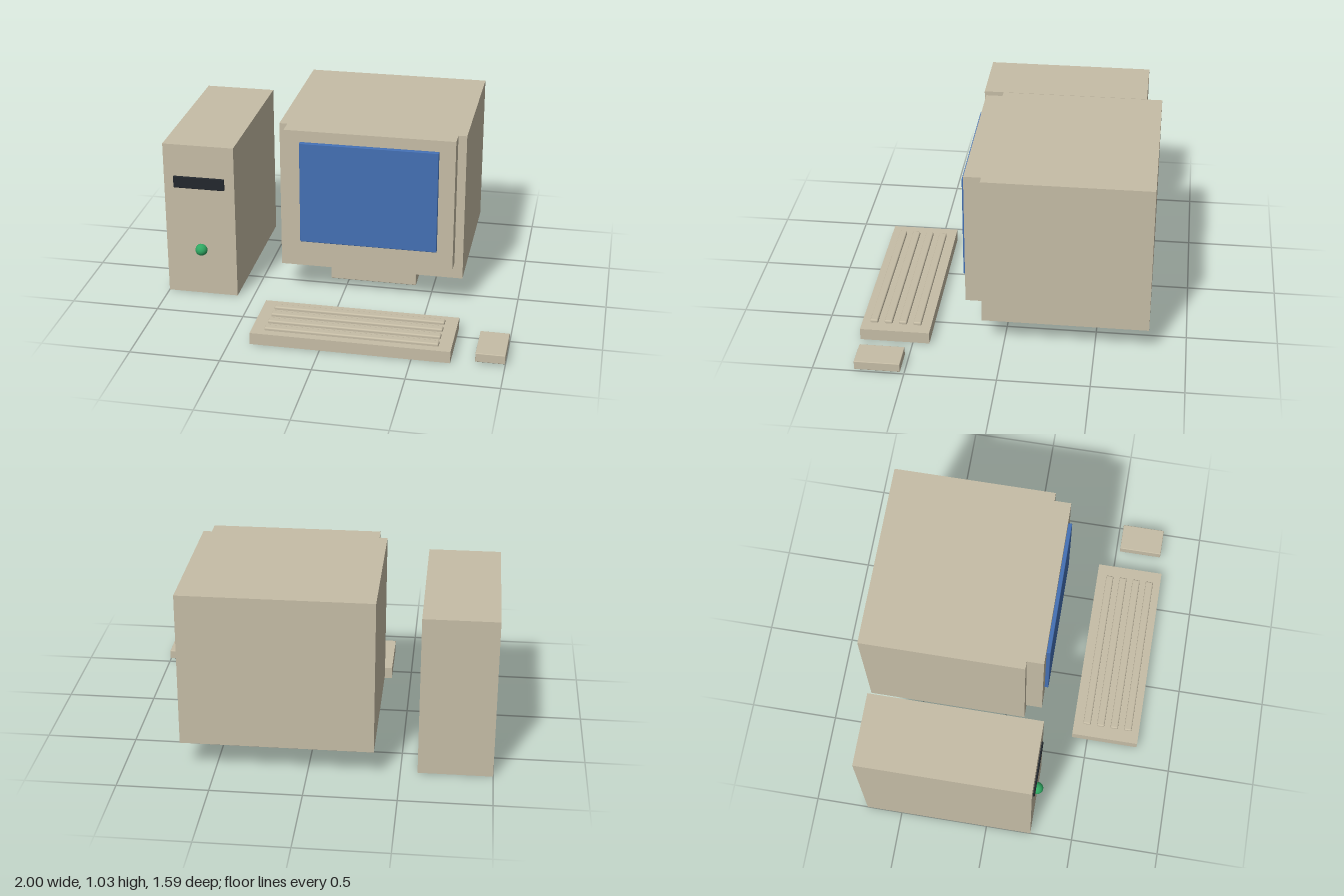
import * as THREE from 'three';
import { RoundedBoxGeometry } from 'three/addons/geometries/RoundedBoxGeometry.js';

export function createModel() {
  const model = new THREE.Group();
  model.name = 'desktopComputer';

  const mat = (name, color) => {
    const m = new THREE.MeshStandardMaterial({ color });
    m.name = name;
    return m;
  };
  const beige = mat('beigePlastic', 0xc6bda6);
  const blue = mat('screenBlue', 0x4470b4);
  const dark = mat('driveBlack', 0x23282e);
  const green = mat('buttonGreen', 0x2fa862);

  // Box between two corners; a radius softens its edges
  const box = (parent, name, material, [x0, y0, z0], [x1, y1, z1], radius = 0) => {
    const size = [x1 - x0, y1 - y0, z1 - z0];
    const geometry = radius
      ? new RoundedBoxGeometry(...size, 2, radius)
      : new THREE.BoxGeometry(...size);
    const mesh = new THREE.Mesh(geometry, material);
    mesh.name = name;
    mesh.position.set((x0 + x1) / 2, (y0 + y1) / 2, (z0 + z1) / 2);
    parent.add(mesh);
    return mesh;
  };
  const group = (name) => {
    const g = new THREE.Group();
    g.name = name;
    model.add(g);
    return g;
  };

  // Tower with drive slot and power button
  const tower = group('tower');
  box(tower, 'towerCase', beige, [-1, 0, -0.703], [-0.593, 0.915, 0.258]);
  box(tower, 'driveSlot', dark, [-0.945, 0.655, 0.25], [-0.65, 0.725, 0.267], 0.004);
  const button = new THREE.Mesh(new THREE.SphereGeometry(0.035, 24, 16), green);
  button.name = 'powerButton';
  button.position.set(-0.797, 0.278, 0.262);
  tower.add(button);

  // Monitor: housing, front bezel, screen and foot
  const monitor = group('monitor');
  box(monitor, 'monitorHousing', beige, [-0.36, 0.163, -0.794], [0.688, 1.03, 0.118]);
  box(monitor, 'monitorBezel', beige, [-0.315, 0.257, 0.118], [0.64, 1.03, 0.212]);
  box(monitor, 'screen', blue, [-0.225, 0.368, 0.2], [0.55, 0.965, 0.234], 0.004);
  box(monitor, 'monitorFoot', beige, [-0.087, 0.048, -0.474], [0.411, 0.17, 0.03], 0.004);

  // Keyboard with four long key rows
  const keyboard = group('keyboard');
  box(keyboard, 'keyboardBase', beige, [-0.386, 0, 0.408], [0.71, 0.068, 0.794]);
  for (let i = 0; i < 4; i++) {
    const z = 0.485 + i * 0.081;
    box(keyboard, 'keyRow', beige, [-0.315, 0.05, z - 0.022], [0.64, 0.085, z + 0.022], 0.008);
  }

  // Mouse
  box(model, 'mouse', beige, [0.84, 0.01, 0.521], [1, 0.062, 0.771], 0.004);

  return model;
}
